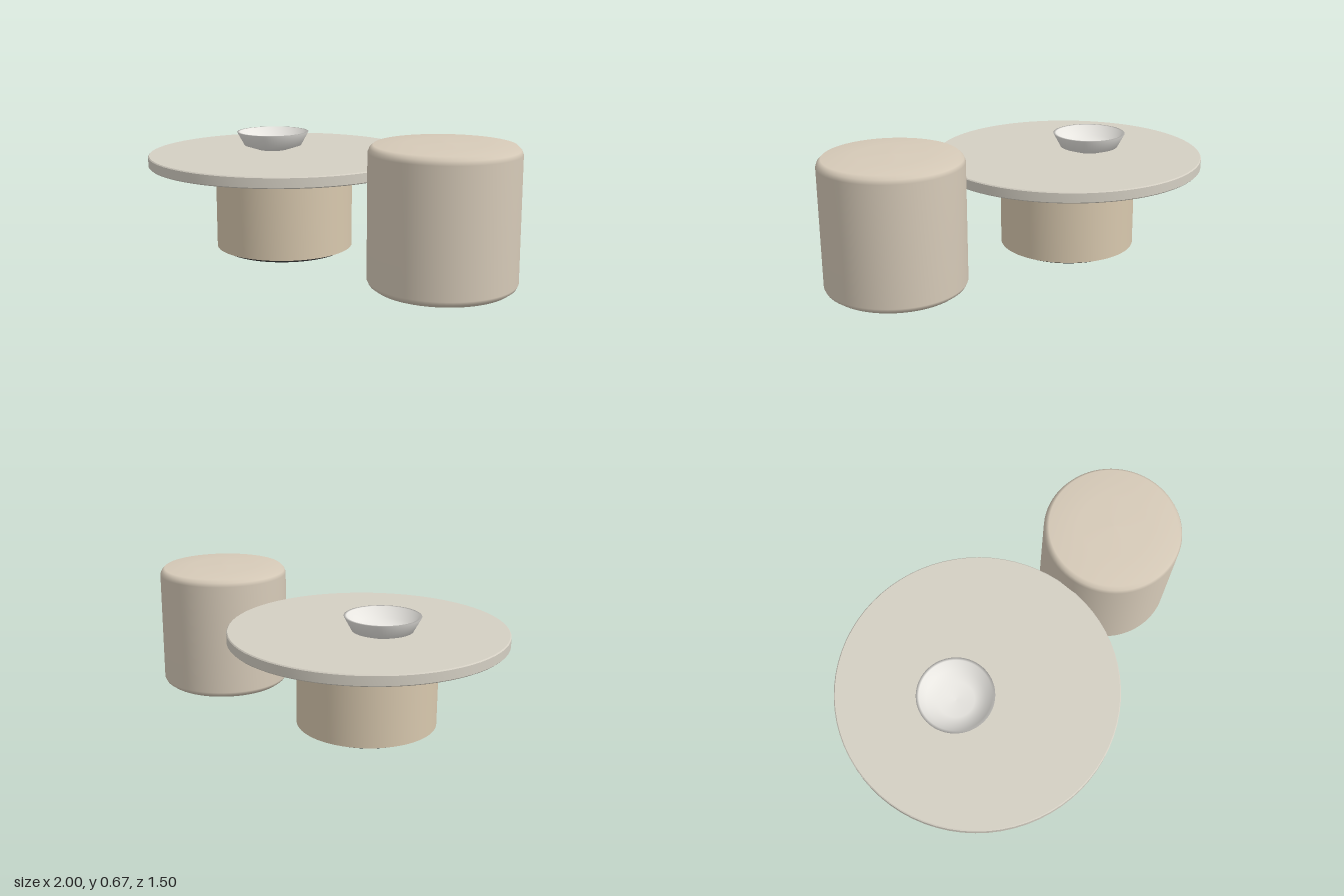
import * as THREE from 'three';
import { toCreasedNormals } from 'three/addons/utils/BufferGeometryUtils.js';

// Turned part from [radius, height] pairs, listed from the bottom up
function turned(name, profile, color, creased = true) {
  const points = profile.map(([r, y]) => new THREE.Vector2(r, y));
  let geometry = new THREE.LatheGeometry(points, 72);
  if (creased) geometry = toCreasedNormals(geometry, 0.5);
  const material = new THREE.MeshStandardMaterial({ color, side: THREE.DoubleSide });
  const mesh = new THREE.Mesh(geometry, material);
  mesh.name = name;
  return mesh;
}

export function createModel() {
  const model = new THREE.Group();
  model.name = 'coffeeTableSet';

  // Round table: recessed plinth, drum pedestal and thin top with eased edges
  const table = new THREE.Group();
  table.name = 'table';
  table.position.set(-0.3, 0, -0.05);
  table.add(
    turned('plinth', [[0, 0], [0.318, 0], [0.318, 0.02], [0, 0.02]], 0x2b2b2b),
    turned('pedestal', [[0, 0.018], [0.357, 0.018], [0.357, 0.457], [0, 0.457]], 0xd8c8ae),
    turned('tableTop', [
      [0, 0.455], [0.697, 0.455], [0.702, 0.46], [0.702, 0.506], [0.697, 0.511], [0, 0.511],
    ], 0xd4cfc3)
  );

  // Shallow bowl: outside wall, rim, then back down the inside
  const bowl = turned('bowl', [
    [0, 0.511], [0.08, 0.511], [0.152, 0.535], [0.19, 0.605],
    [0.176, 0.605], [0.145, 0.553], [0.09, 0.531], [0, 0.525],
  ], 0xe8e6e1, false);
  bowl.position.set(-0.393, 0, -0.13);

  // Upholstered pouf with softened edges and a faintly domed seat
  const pouf = turned('pouf', [
    [0, 0], [0.32, 0.002], [0.342, 0.018], [0.35, 0.035],
    [0.35, 0.628], [0.342, 0.648], [0.325, 0.664], [0.17, 0.67], [0, 0.673],
  ], 0xd6cab8, false);
  pouf.position.set(0.647, 0, 0.395);

  model.add(table, bowl, pouf);
  return model;
}
